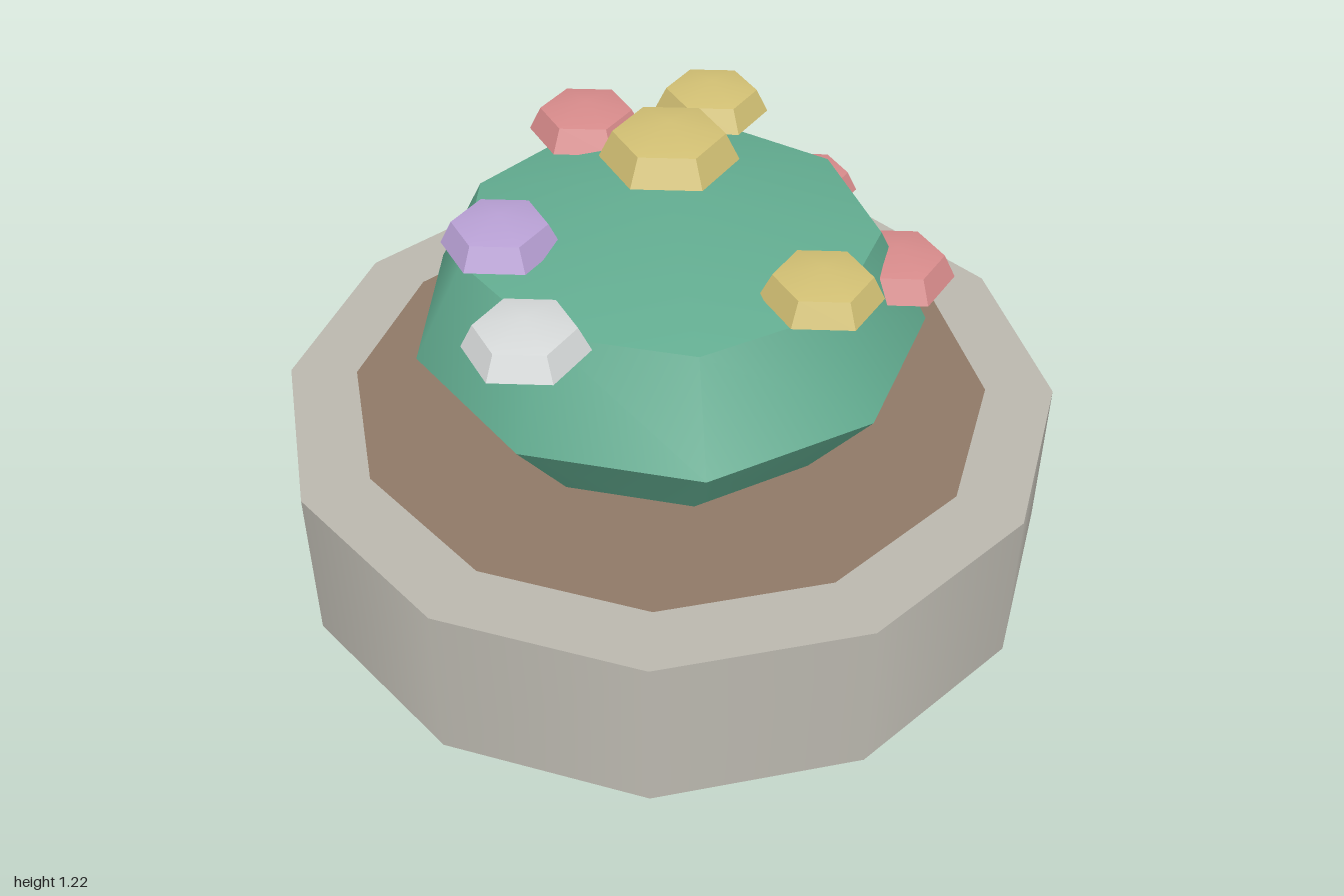
import * as THREE from 'three';
import { toCreasedNormals } from 'three/addons/utils/BufferGeometryUtils.js';

const mat = (name, color, side = THREE.FrontSide) => {
  const m = new THREE.MeshStandardMaterial({ color, side });
  m.name = name;
  return m;
};

// Faceted solid of revolution; profile points [radius, y] run bottom to top
function turned(profile, sides, phiStart) {
  const points = profile.map(([r, y]) => new THREE.Vector2(r, y));
  return toCreasedNormals(new THREE.LatheGeometry(points, sides, phiStart), Math.PI / 4);
}

export function createModel() {
  const group = new THREE.Group();
  const stone = mat('stone', 0xbab7ae, THREE.DoubleSide);
  const soil = mat('soil', 0x8f7966);
  const green = mat('leaf green', 0x62ac90);
  const petals = {
    gold: mat('gold', 0xd1bf73),
    red: mat('coral red', 0xd68a8a),
    purple: mat('lilac', 0xb8a0d4),
    white: mat('white', 0xd6d9d9),
  };

  const add = (name, geometry, material, x = 0, y = 0, z = 0) => {
    const mesh = new THREE.Mesh(geometry, material);
    mesh.name = name;
    mesh.position.set(x, y, z);
    group.add(mesh);
    return mesh;
  };

  // Planter: open wall with a flat rim on top, filled with soil
  add('planterWall', new THREE.CylinderGeometry(1, 1, 0.435, 12, 1, true), stone, 0, 0.2175, 0);
  const rim = new THREE.RingGeometry(0.825, 1, 12, 1).rotateX(-Math.PI / 2);
  add('planterRim', rim, stone, 0, 0.435, 0);
  add('soil', new THREE.CylinderGeometry(0.845, 0.845, 0.4, 12), soil, 0, 0.22, 0);

  // Nine-sided bush
  const bush = [[0.4, 0.33], [0.65, 0.663], [0.52, 0.92], [0, 1.045]];
  add('bush', turned(bush, 9, Math.PI / 2), green);

  // Six-sided blossoms, unit radius, resting on their lower tip
  const blossom = turned([[0, 0], [1, 0.33], [0.8, 0.74], [0, 0.92]], 6, Math.PI / 2);
  const blossoms = [
    // colour, x, y, z, radius
    ['gold', 0, 1.065, 0, 0.168],
    ['gold', 0.09, 0.91, -0.51, 0.15],
    ['gold', 0.365, 0.895, 0.305, 0.145],
    ['red', -0.235, 0.902, -0.405, 0.15],
    ['red', 0.56, 0.745, 0, 0.15],
    ['red', 0.35, 0.81, -0.3, 0.125],
    ['purple', -0.395, 0.907, 0.14, 0.145],
    ['white', -0.295, 0.882, 0.51, 0.147],
  ];
  for (const [colour, x, y, z, r] of blossoms) {
    add(colour + 'Blossom', blossom, petals[colour], x, y, z).scale.setScalar(r);
  }

  return group;
}
